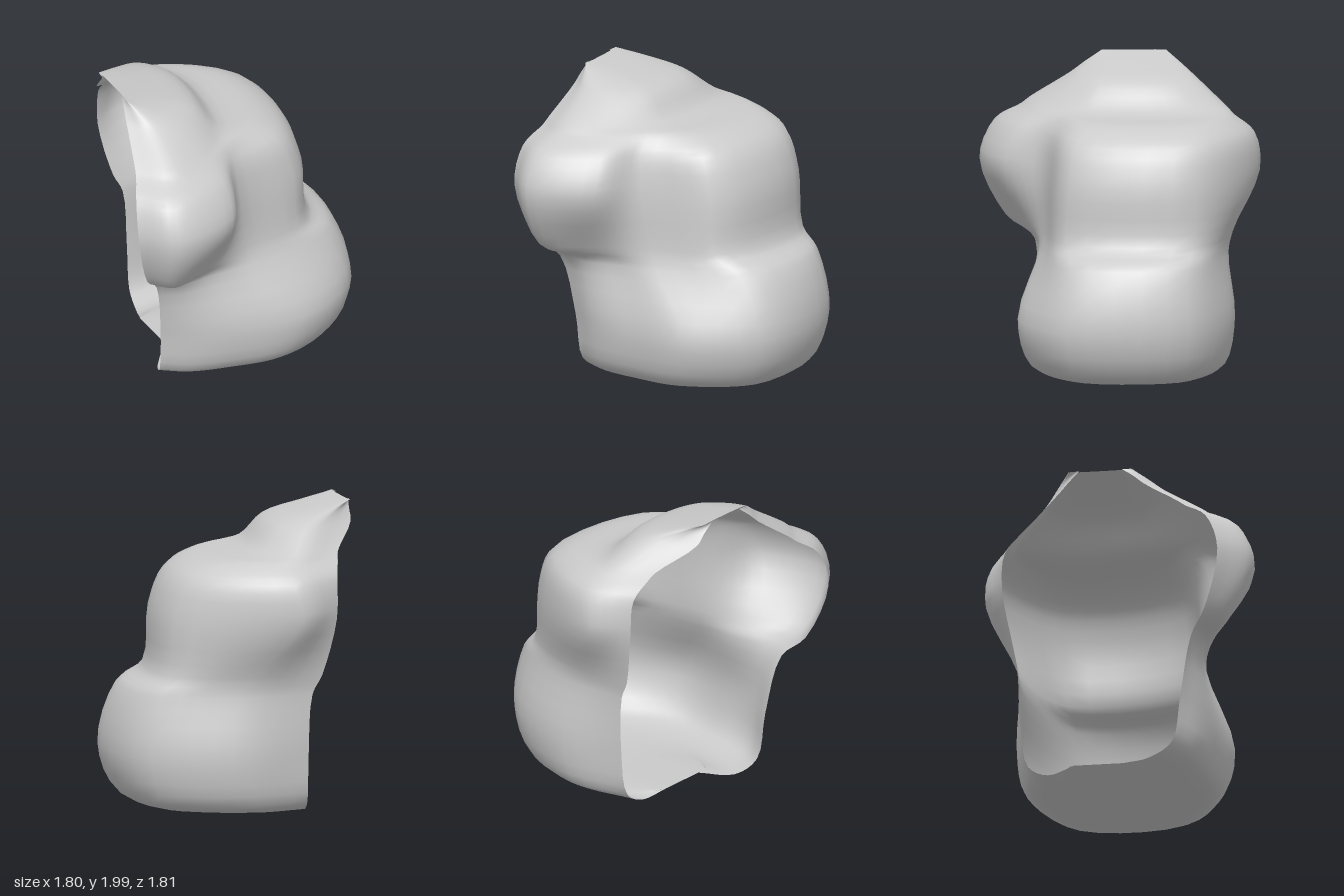
import * as THREE from 'three';

// Each section: height, then eight x,z pairs running from the front rim, round
// the left side (+x), to the back rim. The right side (-x) stays open.
const bellySections = [
  [0.4, -0.59, 0.42, -0.4, 0.54, -0.1, 0.62, 0.35, 0.66, 0.83, 0.36, 0.82, -0.43, 0.25, -0.73, -0.28, -0.66],
  [0.8, -0.66, 0.5, -0.5, 0.55, -0.25, 0.53, 0.05, 0.52, 0.7, 0.33, 0.74, -0.42, 0.2, -0.68, -0.3, -0.68],
  [0.93, -0.78, 0.6, -0.66, 0.74, -0.34, 0.62, 0, 0.5, 0.5, 0.36, 0.61, -0.46, 0.12, -0.71, -0.36, -0.7],
];
const shoulderSections = [
  [1.3, -0.89, 0.7, -0.7, 0.9, -0.26, 0.8, -0.06, 0.52, 0.47, 0.34, 0.57, -0.48, -0.16, -0.9, -0.44, -0.76],
  [1.55, -0.87, 0.62, -0.68, 0.81, -0.26, 0.7, -0.08, 0.48, 0.38, 0.3, 0.48, -0.48, -0.12, -0.87, -0.45, -0.74],
  [1.66, -0.8, 0.48, -0.62, 0.64, -0.32, 0.58, -0.08, 0.4, 0.24, 0.2, 0.3, -0.46, -0.1, -0.74, -0.48, -0.64],
  [1.71, -0.78, 0.42, -0.6, 0.58, -0.36, 0.52, -0.16, 0.36, -0.05, 0.18, 0, -0.42, -0.18, -0.68, -0.5, -0.58],
  [1.87, -0.72, 0.2, -0.6, 0.32, -0.45, 0.32, -0.3, 0.24, -0.2, 0.12, -0.17, -0.32, -0.32, -0.5, -0.66, -0.35],
];

// Smooth curve through the points, sampled evenly per span
const smooth = (points, perSpan) =>
  new THREE.CatmullRomCurve3(points).getPoints((points.length - 1) * perSpan);

function sectionPoints([y, ...xz]) {
  const points = [];
  for (let i = 0; i < xz.length; i += 2) points.push(new THREE.Vector3(xz[i], y, xz[i + 1]));
  return smooth(points, 5);
}

// Copy of a section drawn in towards a middle point, at a new height
function drawnIn(row, middle, amountX, amountZ, y) {
  const { lerp } = THREE.MathUtils;
  return row.map((p) => new THREE.Vector3(lerp(p.x, middle.x, amountX), y, lerp(p.z, middle.y, amountZ)));
}

function shellGeometry() {
  const belly = bellySections.map(sectionPoints);
  const shoulders = shoulderSections.map(sectionPoints);
  const floorMiddle = new THREE.Vector2(-0.36, -0.15);
  const crownMiddle = new THREE.Vector2(-0.68, -0.1);
  const crown = shoulders[shoulders.length - 1];
  const rows = [
    // Floor, closing at the rim
    drawnIn(belly[0], floorMiddle, 1, 0.7, 0.05),
    drawnIn(belly[0], floorMiddle, 0.36, 0.36, 0.015),
    drawnIn(belly[0], floorMiddle, 0.1, 0.1, 0.09),
    ...belly,
    ...shoulders,
    // Crown, closing to a short ridge
    drawnIn(crown, crownMiddle, 0.45, 0.25, 1.94),
    drawnIn(crown, crownMiddle, 0.97, 0.5, 2),
  ];
  // Run a smooth curve up through every column of the sections
  const columns = rows[0].map((_, c) => smooth(rows.map((row) => row[c]), 4));
  const height = columns[0].length;
  const positions = columns.flat().flatMap((p) => [p.x, THREE.MathUtils.clamp(p.y, 0, 2), p.z]);
  const indices = [];
  for (let c = 0; c < columns.length - 1; c++) {
    for (let r = 0; r < height - 1; r++) {
      const a = c * height + r;
      const b = a + height;
      indices.push(a, b, b + 1, a, b + 1, a + 1);
    }
  }
  const geometry = new THREE.BufferGeometry();
  geometry.setAttribute('position', new THREE.Float32BufferAttribute(positions, 3));
  geometry.setIndex(indices);
  geometry.computeVertexNormals();
  return geometry;
}

export function createModel() {
  const group = new THREE.Group();
  group.name = 'openShell';
  // Thin lumpy shell, hollow and open on one side
  const material = new THREE.MeshStandardMaterial({ color: 0xcccccc, side: THREE.DoubleSide });
  const shell = new THREE.Mesh(shellGeometry(), material);
  shell.name = 'shell';
  group.add(shell);
  return group;
}
